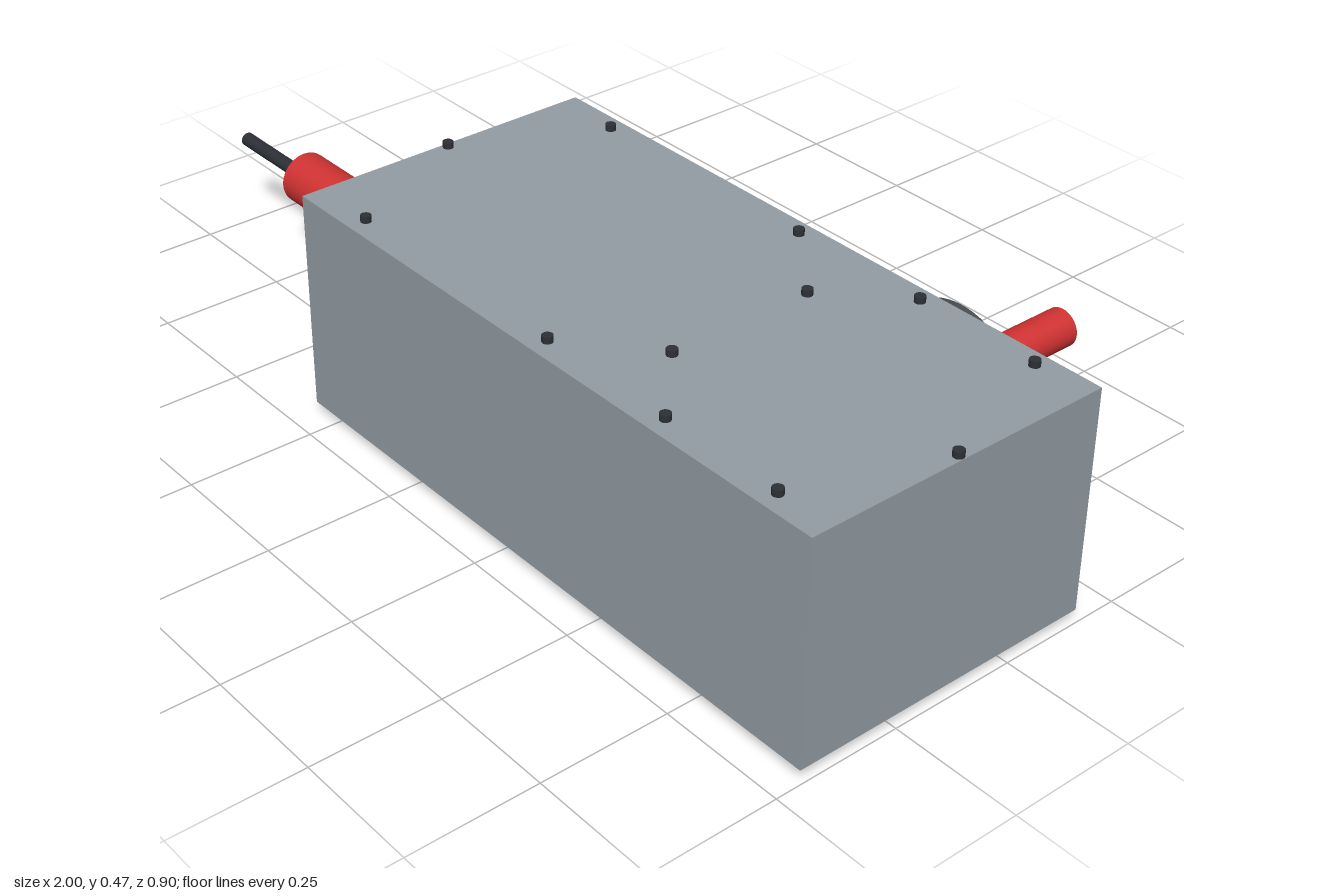
import * as THREE from 'three';

export function createModel() {
  const model = new THREE.Group();
  const mat = (name, color) => {
    const m = new THREE.MeshStandardMaterial({ color });
    m.name = name;
    return m;
  };
  const grey = mat('housing grey', 0x939ca3);
  const red = mat('signal red', 0xd03232);
  const dark = mat('flange dark grey', 0x484d51);
  const black = mat('screw black', 0x2c3036);

  const add = (name, geo, material, x, y, z) => {
    const mesh = new THREE.Mesh(geo, material);
    mesh.name = name;
    mesh.position.set(x, y, z);
    model.add(mesh);
    return mesh;
  };
  // Box given by its min and max corners
  const box = (name, m, x0, x1, y0, y1, z0, z1) =>
    add(name, new THREE.BoxGeometry(x1 - x0, y1 - y0, z1 - z0), m,
      (x0 + x1) / 2, (y0 + y1) / 2, (z0 + z1) / 2);
  // Cylinder lying along x or z
  const rodX = (name, m, r, x0, x1, y, z, n = 40) =>
    add(name, new THREE.CylinderGeometry(r, r, x1 - x0, n).rotateZ(Math.PI / 2), m, (x0 + x1) / 2, y, z);
  const rodZ = (name, m, r, z0, z1, x, y, n = 40) =>
    add(name, new THREE.CylinderGeometry(r, r, z1 - z0, n).rotateX(Math.PI / 2), m, x, y, (z0 + z1) / 2);
  const circleHole = (shape, r) => {
    const hole = new THREE.Path();
    hole.absarc(0, 0, r, 0, Math.PI * 2, true);
    shape.holes.push(hole);
    return shape;
  };

  // Housing
  box('housing', grey, -0.3, 0.997, 0.025, 0.455, -0.162, 0.45);

  // Four feet with a bolt hole
  const f = 0.054;
  const footShape = circleHole(new THREE.Shape([
    new THREE.Vector2(-f, -f), new THREE.Vector2(f, -f),
    new THREE.Vector2(f, f), new THREE.Vector2(-f, f)]), 0.012);
  const footGeo = new THREE.ExtrudeGeometry(footShape, { depth: 0.025, bevelEnabled: false, curveSegments: 12 })
    .rotateX(-Math.PI / 2);
  for (const x of [-0.208, 0.91]) for (const z of [-0.072, 0.361]) add('foot', footGeo, grey, x, 0, z);

  // Lid screws
  const screwGeo = new THREE.CylinderGeometry(0.01, 0.01, 0.012, 16);
  const spots = [[0.505, -0.003], [0.505, 0.288], [-0.288, 0.143], [0.986, 0.143]];
  for (const x of [-0.155, 0.35, 0.638, 0.888]) for (const z of [-0.129, 0.415]) spots.push([x, z]);
  for (const [x, z] of spots) add('lidScrew', screwGeo, black, x, 0.461, z);

  // Rear ring flange with bolts and red shaft
  const rx = 0.674, ry = 0.299;
  const ringShape = new THREE.Shape();
  ringShape.absarc(0, 0, 0.143, 0, Math.PI * 2);
  add('rearFlange', new THREE.ExtrudeGeometry(circleHole(ringShape, 0.092),
    { depth: 0.029, bevelEnabled: false, curveSegments: 32 }), dark, rx, ry, -0.191);
  for (const sx of [-1, 1]) for (const sy of [-1, 1])
    rodZ('rearFlangeBolt', black, 0.01, -0.203, -0.19, rx + sx * 0.082, ry + sy * 0.082, 16);
  rodZ('rearShaft', red, 0.036, -0.45, -0.162, rx, ry);

  // Stepped red spindle with cable on the side
  const sy = 0.187, sz = 0.143;
  rodX('spindleFlange', red, 0.115, -0.34, -0.3, sy, sz);
  rodX('spindleBody', red, 0.077, -0.498, -0.34, sy, sz);
  rodX('spindleNose', red, 0.053, -0.785, -0.498, sy, sz);
  rodX('cable', black, 0.014, -1, -0.785, sy, sz, 24);
  for (let i = 0; i < 3; i++) {
    const a = i * Math.PI * 2 / 3;
    rodX('spindleBolt', black, 0.012, -0.36, -0.34, sy + 0.095 * Math.cos(a), sz + 0.095 * Math.sin(a), 16);
  }

  // Rectangular connector
  box('connectorPlate', grey, -0.328, -0.3, 0.335, 0.4, -0.11, 0.07);
  box('connectorBlock', grey, -0.349, -0.328, 0.346, 0.388, -0.09, 0.05);

  // Round socket and small earth stud
  rodX('socketCollar', dark, 0.044, -0.312, -0.3, 0.145, -0.06, 32);
  rodX('socket', dark, 0.036, -0.355, -0.312, 0.145, -0.06, 32);
  rodX('earthWasher', red, 0.014, -0.306, -0.3, 0.09, -0.11, 20);
  rodX('earthStud', red, 0.007, -0.338, -0.306, 0.09, -0.11, 16);

  return model;
}
